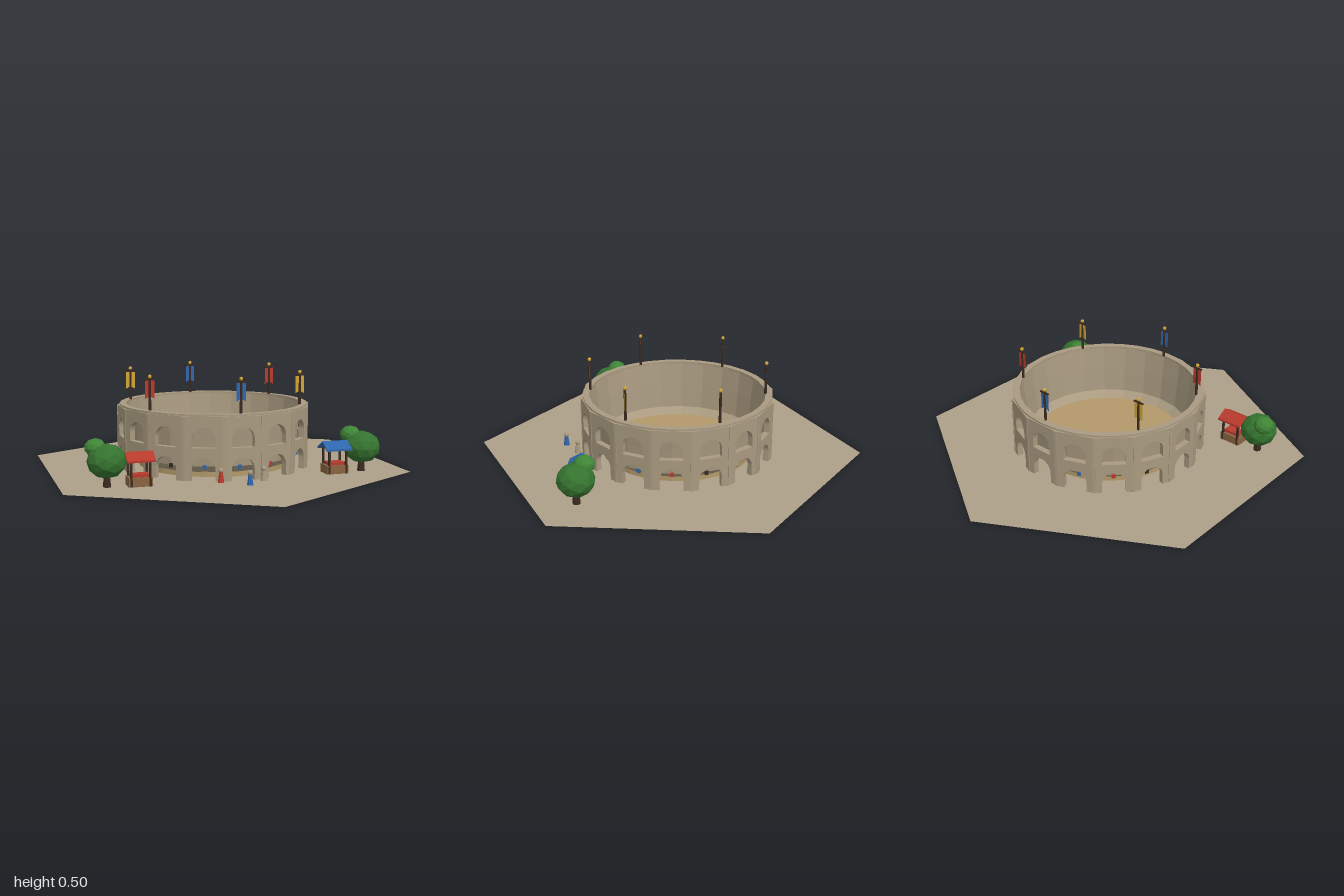
import * as THREE from 'three';

const CZ = -0.04; // arena centre
const SIDES = 16;

function makeMaterials() {
  const colors = {
    earth: 0xac9f89, stone: 0xa99a80, sand: 0xb2996a, wood: 0x8a6440, darkWood: 0x3a2a20,
    red: 0xb83a2c, blue: 0x2f66ad, gold: 0xd2a436, leaf: 0x35732f, lightLeaf: 0x3f8536,
  };
  const mats = {};
  for (const [name, color] of Object.entries(colors)) {
    mats[name] = new THREE.MeshStandardMaterial({ color, flatShading: true });
    mats[name].name = name;
  }
  for (const n of ['earth', 'stone', 'red', 'blue', 'gold']) mats[n].side = THREE.DoubleSide;
  return mats;
}

function add(parent, name, geometry, material, x = 0, y = 0, z = 0) {
  const mesh = new THREE.Mesh(geometry, material);
  mesh.name = name;
  mesh.position.set(x, y, z);
  parent.add(mesh);
  return mesh;
}

function addGroup(parent, name, x = 0, y = 0, z = 0) {
  const g = new THREE.Group();
  g.name = name;
  g.position.set(x, y, z);
  parent.add(g);
  return g;
}

// One wall bay: arched gateway below, arched window above
function bayGeometry() {
  const w = 0.0975, gate = 0.058, win = 0.057;
  const s = new THREE.Shape();
  s.moveTo(-w, 0);
  s.lineTo(-gate, 0);
  s.lineTo(-gate, 0.055);
  s.absarc(0, 0.055, gate, Math.PI, 0, true);
  s.lineTo(gate, 0);
  s.lineTo(w, 0);
  s.lineTo(w, 0.312);
  s.lineTo(-w, 0.312);
  s.closePath();
  const h = new THREE.Path();
  h.moveTo(-win, 0.16);
  h.lineTo(win, 0.16);
  h.lineTo(win, 0.202);
  h.absarc(0, 0.202, win, 0, Math.PI, false);
  h.closePath();
  s.holes.push(h);
  const geo = new THREE.ExtrudeGeometry(s, { depth: 0.03, bevelEnabled: false, curveSegments: 10 });
  return geo.translate(0, 0, 0.46);
}

function buildArena(root, m) {
  const arena = addGroup(root, 'arena', 0, 0, CZ);
  add(arena, 'sandFloor', new THREE.CylinderGeometry(0.392, 0.392, 0.026, 32), m.sand, 0, 0.014, 0);

  // Sloping inner bowl
  const bowl = [[0.392, 0.025], [0.432, 0.06], [0.444, 0.19], [0.458, 0.313]];
  add(arena, 'innerBowl', new THREE.LatheGeometry(bowl.map(p => new THREE.Vector2(...p)), 24), m.stone);

  // Rim on top of the wall
  const rim = [[0.455, 0.308], [0.488, 0.308], [0.488, 0.321], [0.455, 0.321], [0.455, 0.308]];
  add(arena, 'rim', new THREE.LatheGeometry(rim.map(p => new THREE.Vector2(...p)), 32), m.stone);

  const bay = bayGeometry();
  const pilaster = new THREE.BoxGeometry(0.014, 0.312, 0.02);
  const shield = new THREE.BoxGeometry(0.018, 0.02, 0.008);
  const shieldMats = [m.blue, m.red, m.darkWood];
  for (let i = 0; i < SIDES; i++) {
    const side = addGroup(arena, 'wallBay');
    side.rotation.y = (i / SIDES) * Math.PI * 2;
    add(side, 'archedWall', bay, m.stone);
    add(side, 'shield', shield, shieldMats[i % 3], 0, 0.058, 0.437);
    const corner = addGroup(arena, 'wallCorner');
    corner.rotation.y = ((i + 0.5) / SIDES) * Math.PI * 2;
    add(corner, 'pilaster', pilaster, m.stone, 0, 0.156, 0.491);
  }
}

function buildBanners(root, m) {
  // Swallow-tailed cloth
  const s = new THREE.Shape();
  s.moveTo(-0.024, 0.15);
  s.lineTo(-0.024, 0.057);
  s.lineTo(0, 0.07);
  s.lineTo(0.024, 0.057);
  s.lineTo(0.024, 0.15);
  s.closePath();
  const cloth = new THREE.ShapeGeometry(s);
  const pole = new THREE.CylinderGeometry(0.006, 0.007, 0.165, 6);
  const bar = new THREE.BoxGeometry(0.054, 0.007, 0.007);
  const finial = new THREE.SphereGeometry(0.01, 6, 5);
  const colors = [m.blue, m.gold, m.red];
  for (let i = 0; i < 6; i++) {
    const a = (i / 6) * Math.PI * 2;
    const b = addGroup(root, 'banner', Math.sin(a) * 0.453, 0.32, CZ + Math.cos(a) * 0.453);
    add(b, 'pole', pole, m.darkWood, 0, 0.0825, 0);
    add(b, 'crossbar', bar, m.darkWood, 0, 0.15, 0);
    add(b, 'cloth', cloth, colors[i % 3]);
    add(b, 'finial', finial, m.gold, 0, 0.166, 0);
  }
}

function buildStall(root, m, x, roofMat) {
  const stall = addGroup(root, 'marketStall', x, 0, 0.4);
  add(stall, 'counter', new THREE.BoxGeometry(0.114, 0.042, 0.085), m.wood, 0, 0.021, 0);
  add(stall, 'goods', new THREE.BoxGeometry(0.085, 0.014, 0.055), m.red, 0, 0.049, 0);
  for (const px of [-0.045, 0.045]) for (const pz of [-0.038, 0.038]) {
    add(stall, 'post', new THREE.BoxGeometry(0.01, 0.125, 0.01), m.darkWood, px, 0.0625, pz);
  }
  // Gabled canopy with its ridge along x
  const s = new THREE.Shape();
  s.moveTo(-0.058, 0.117);
  s.lineTo(0, 0.15);
  s.lineTo(0.058, 0.117);
  s.lineTo(0.058, 0.127);
  s.lineTo(0, 0.161);
  s.lineTo(-0.058, 0.127);
  s.closePath();
  const roof = new THREE.ExtrudeGeometry(s, { depth: 0.135, bevelEnabled: false });
  roof.translate(0, 0, -0.0675).rotateY(Math.PI / 2);
  add(stall, 'canopy', roof, roofMat);
}

function buildTree(root, m, x, turn) {
  const tree = addGroup(root, 'tree', x, 0, 0.395);
  add(tree, 'trunk', new THREE.CylinderGeometry(0.012, 0.02, 0.08, 7), m.darkWood, 0, 0.04, 0);
  const crown = add(tree, 'crown', new THREE.IcosahedronGeometry(0.094, 1), m.leaf, 0, 0.122, 0);
  crown.scale.y = 0.87;
  crown.rotation.y = turn;
  const top = add(tree, 'upperCrown', new THREE.IcosahedronGeometry(0.052, 1), m.lightLeaf, -0.047, 0.182, -0.035);
  top.scale.y = 0.85;
  top.rotation.y = turn + 0.5;
}

function buildFigure(root, m, x, z, robe) {
  const f = addGroup(root, 'visitor', x, 0, z);
  add(f, 'robe', new THREE.CylinderGeometry(0.009, 0.016, 0.05, 8), robe, 0, 0.025, 0);
  add(f, 'head', new THREE.SphereGeometry(0.0125, 8, 6), m.stone, 0, 0.059, 0);
}

export function createModel() {
  const m = makeMaterials();
  const root = new THREE.Group();
  root.name = 'arenaScene';

  // Hexagonal plot
  const plot = new THREE.CircleGeometry(1, 6).rotateZ(Math.PI / 2).rotateX(-Math.PI / 2);
  add(root, 'ground', plot, m.earth);

  buildArena(root, m);
  buildBanners(root, m);
  buildStall(root, m, -0.497, m.red);
  buildStall(root, m, 0.497, m.blue);
  buildTree(root, m, -0.648, 0.3);
  buildTree(root, m, 0.645, 1.4);
  buildFigure(root, m, -0.115, 0.46, m.red);
  buildFigure(root, m, 0, 0.55, m.blue);
  buildFigure(root, m, 0.095, 0.475, m.stone);
  return root;
}
